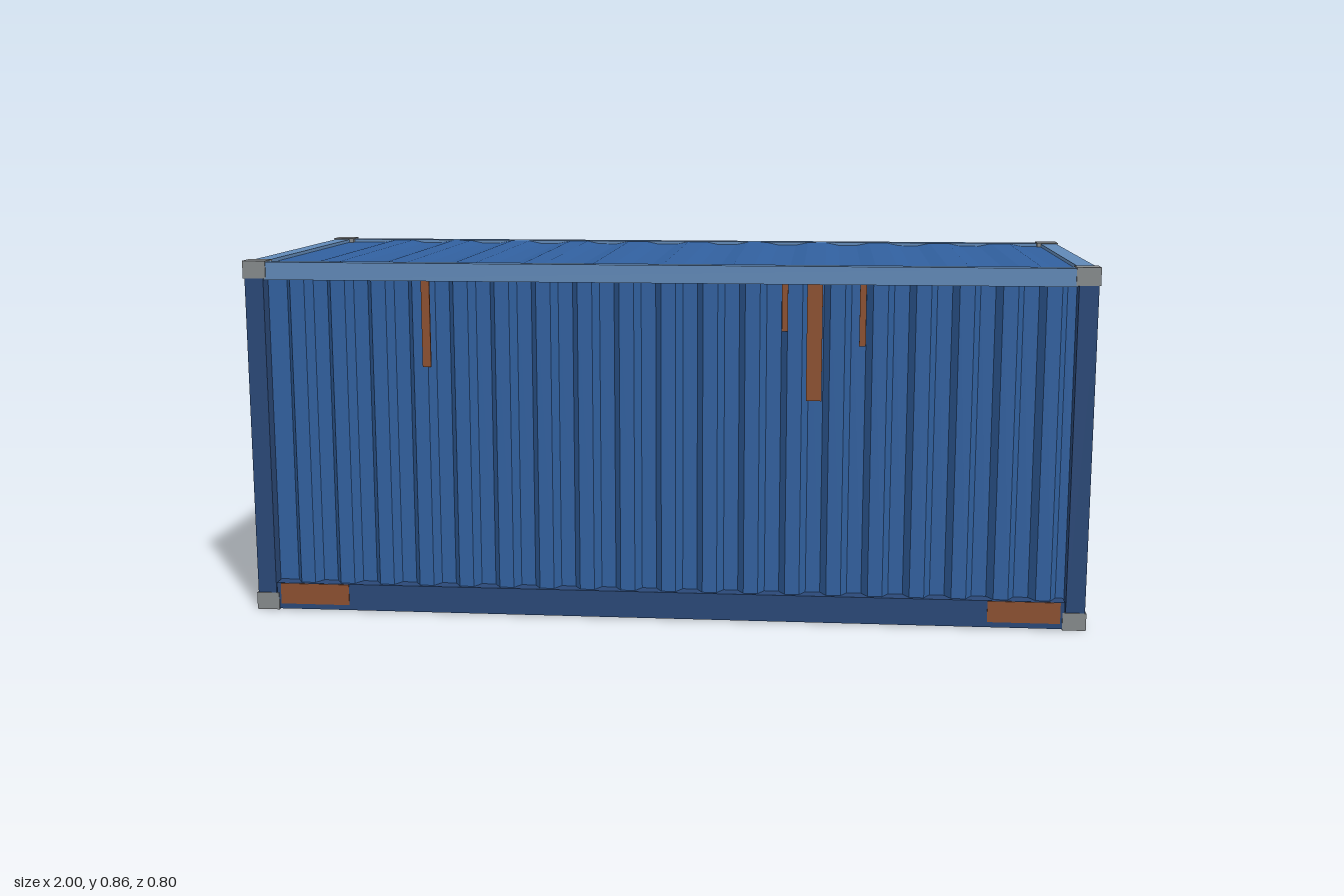
import * as THREE from 'three';

const mat = (name, color) => {
  const m = new THREE.MeshStandardMaterial({ color });
  m.name = name;
  return m;
};

export function createModel() {
  const panelBlue = mat('panel blue', 0x31609f);
  const frameBlue = mat('frame dark blue', 0x2a4877);
  const railBlue = mat('rail light blue', 0x6088b6);
  const steel = mat('steel grey', 0x868a8c);
  const rust = mat('rust', 0x8c5030);

  const root = new THREE.Group();
  root.name = 'shippingContainer';

  const add = (name, geometry, material, parent = root) => {
    const mesh = new THREE.Mesh(geometry, material);
    mesh.name = name;
    parent.add(mesh);
    return mesh;
  };
  // Box given by its minimum and maximum corners
  const box = (name, material, [x0, x1], [y0, y1], [z0, z1], parent = root) => {
    const mesh = add(name, new THREE.BoxGeometry(x1 - x0, y1 - y0, z1 - z0), material, parent);
    mesh.position.set((x0 + x1) / 2, (y0 + y1) / 2, (z0 + z1) / 2);
    return mesh;
  };
  const group = (name, parent = root) => {
    const g = new THREE.Group();
    g.name = name;
    parent.add(g);
    return g;
  };
  const around = (c, size) => [c - size / 2, c + size / 2];

  // Corrugated sheet: trapezoid ribs along x, rising towards +y, extruded along z
  const corrugated = (half, start, pitch, count, rise, depth, slope = 0.15) => {
    const line = [[-half, 0]];
    for (let i = 0; i < count; i++) {
      const x = start + i * pitch;
      line.push([x + pitch * (0.5 - slope), 0], [x + pitch * 0.5, rise],
        [x + pitch * (1 - slope), rise], [x + pitch, 0]);
    }
    line.push([half, 0]);
    const under = line.map(([x, y]) => [x, y - 0.004]).reverse();
    const shape = new THREE.Shape([...line, ...under].map(([x, y]) => new THREE.Vector2(x, y)));
    return new THREE.ExtrudeGeometry(shape, { depth, bevelEnabled: false });
  };

  // Side walls and closed end wall
  const wallGeometry = (half, start, count, y0, y1, out) =>
    corrugated(half, start, 0.0985, count, 0.026, y1 - y0)
      .rotateX(Math.PI / 2).translate(0, y1, out - 0.026);
  const sideWall = wallGeometry(0.96, -0.94, 19, 0.05, 0.82, 0.387);
  add('frontSideWall', sideWall, panelBlue);
  add('backSideWall', sideWall, panelBlue).rotation.y = Math.PI;
  add('endWall', wallGeometry(0.36, -0.345, 7, 0.05, 0.82, 0.987), panelBlue).rotation.y = -Math.PI / 2;

  // Roof with shallow transverse ribs
  const roof = add('roof', corrugated(0.957, -0.91, 0.165, 11, 0.007, 0.724, 0.2), panelBlue);
  roof.position.set(0, 0.844, -0.362);

  // Corner posts and castings
  for (const sx of [-1, 1]) {
    for (const sz of [-1, 1]) {
      const corner = group('corner');
      corner.scale.set(1, 1, 1);
      const span = (s, a, b) => (s > 0 ? [a, b] : [-b, -a]);
      box('cornerPost', frameBlue, span(sx, 0.952, 0.997), [0.04, 0.815], span(sz, 0.354, 0.397), corner);
      box('lowerCasting', steel, span(sx, 0.945, 1), [0, 0.042], span(sz, 0.347, 0.4), corner);
      box('upperCasting', steel, span(sx, 0.945, 1), [0.813, 0.855], span(sz, 0.347, 0.4), corner);
    }
  }

  // Long rails
  for (const s of [-1, 1]) {
    const span = (a, b) => (s > 0 ? [a, b] : [-b, -a]);
    box('topSideRail', railBlue, [-0.95, 0.95], [0.81, 0.852], span(0.36, 0.397));
    box('bottomSideRail', frameBlue, [-0.95, 0.95], [0.002, 0.067], span(0.357, 0.397));
  }

  // End rails, with a taller header above the doors
  box('rearTopRail', railBlue, [-0.997, -0.957], [0.81, 0.852], [-0.35, 0.35]);
  box('rearBottomRail', frameBlue, [-0.997, -0.955], [0.002, 0.067], [-0.35, 0.35]);
  box('doorHeader', railBlue, [0.955, 0.997], [0.787, 0.852], [-0.35, 0.35]);
  box('doorSill', frameBlue, [0.955, 0.997], [0.002, 0.068], [-0.35, 0.35]);

  // Doors
  const doors = group('doors');
  for (const s of [-1, 1]) {
    const span = (a, b) => (s > 0 ? [a, b] : [-b, -a]);
    box('doorPanel', panelBlue, [0.945, 0.968], [0.068, 0.783], span(0.004, 0.352), doors);
    box('doorEdgeSeal', frameBlue, [0.945, 0.97], [0.068, 0.787], span(0.35, 0.355), doors);
    for (const y of [0.267, 0.596])
      box('doorStiffener', frameBlue, [0.966, 0.974], around(y, 0.014), span(0.028, 0.325), doors);
    for (const y of [0.167, 0.431, 0.695])
      box('hinge', frameBlue, [0.966, 0.988], around(y, 0.033), span(0.334, 0.356), doors);
  }
  box('centreSeal', frameBlue, [0.95, 0.972], [0.068, 0.785], [-0.006, 0.006], doors);
  box('topSeal', frameBlue, [0.945, 0.97], [0.781, 0.789], [-0.352, 0.352], doors);
  box('dataPlate', steel, [0.97, 0.977], [0.554, 0.604], [-0.218, -0.135], doors);

  // Locking rods with keepers and handles
  const rodGeometry = new THREE.CylinderGeometry(0.006, 0.006, 0.715, 10);
  for (const [z, tip] of [[0.285, 0.185], [0.073, -0.027], [-0.073, 0.027], [-0.285, -0.185]]) {
    const lock = group('lockingRod', doors);
    add('rod', rodGeometry, steel, lock).position.set(0.982, 0.4265, z);
    for (const y of [0.108, 0.75])
      box('rodKeeper', steel, [0.966, 0.993], around(y, 0.026), around(z, 0.028), lock);
    const dz = tip - z, dy = -0.033;
    const handle = add('handle', new THREE.BoxGeometry(0.008, 0.01, Math.hypot(dz, dy)), steel, lock);
    handle.position.set(0.99, 0.38 + dy / 2, z + dz / 2);
    handle.rotation.x = -Math.atan2(dy * Math.sign(dz), Math.abs(dz));
    box('handleCatch', frameBlue, [0.966, 0.987], around(0.348, 0.018), around(tip, 0.019), lock);
  }

  // Rust streaks under the top rails: x, width, lower end
  const streaks = {
    1: [[-0.563, 0.02, 0.605], [0.285, 0.014, 0.7], [0.354, 0.036, 0.537], [0.465, 0.015, 0.667]],
    '-1': [[0.38, 0.022, 0.69], [0.167, 0.022, 0.645], [0.04, 0.034, 0.55]],
  };
  for (const s of [1, -1]) {
    for (const [x, w, y] of streaks[s])
      box('rustStreak', rust, around(x, w), [y, 0.811], around(s * 0.388, 0.006));
    for (const x of [-0.855, 0.855])
      box('rustPatch', rust, around(x, 0.17), [0.015, 0.066], around(s * 0.397, 0.004));
  }

  return root;
}
